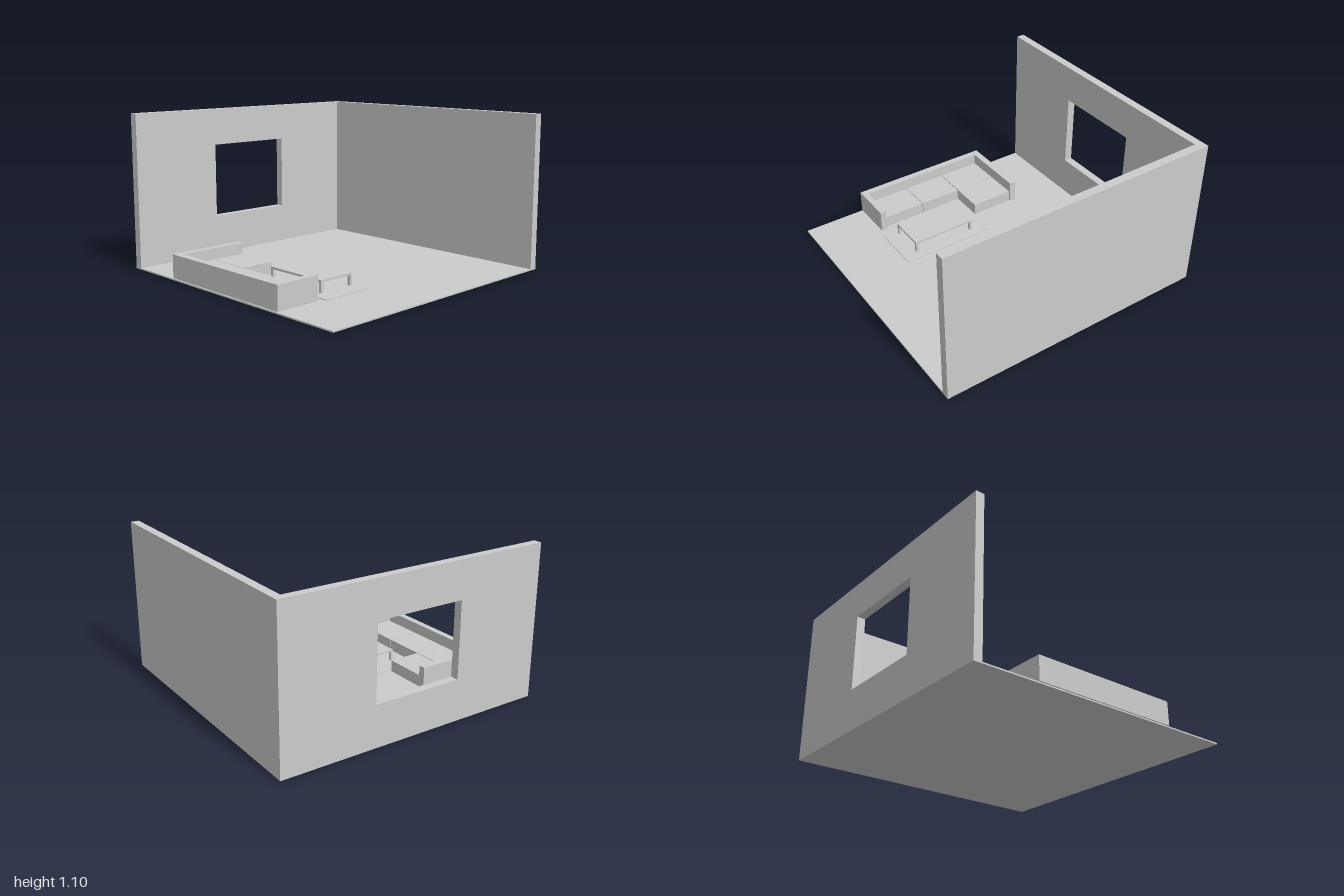
import * as THREE from 'three';

const material = new THREE.MeshStandardMaterial({ color: 0xcccccc, flatShading: true });

// Box given by its minimum and maximum along each axis
function slab(parent, name, [x0, x1], [y0, y1], [z0, z1]) {
  const geometry = new THREE.BoxGeometry(x1 - x0, y1 - y0, z1 - z0);
  geometry.translate((x0 + x1) / 2, (y0 + y1) / 2, (z0 + z1) / 2);
  const mesh = new THREE.Mesh(geometry, material);
  mesh.name = name;
  parent.add(mesh);
}

function group(parent, name) {
  const g = new THREE.Group();
  g.name = name;
  parent.add(g);
  return g;
}

export function createModel() {
  const model = new THREE.Group();
  model.name = 'livingRoom';
  const inner = -0.94, height = 1.1, floorTop = 0.01;

  // Room shell: floor and plain back wall
  slab(model, 'floor', [inner, 1], [0, floorTop], [inner, 1]);
  slab(model, 'backWall', [-1, 1], [0, height], [-1, inner]);

  // Side wall with a window opening, drawn in (z, y) and turned upright
  const wall = new THREE.Shape([
    new THREE.Vector2(inner, 0), new THREE.Vector2(1, 0),
    new THREE.Vector2(1, height), new THREE.Vector2(inner, height),
  ]);
  wall.holes.push(new THREE.Path([
    new THREE.Vector2(-0.32, 0.295), new THREE.Vector2(-0.32, 0.835),
    new THREE.Vector2(0.33, 0.835), new THREE.Vector2(0.33, 0.295),
  ]));
  const wallGeometry = new THREE.ExtrudeGeometry(wall, { depth: 0.06, bevelEnabled: false });
  wallGeometry.rotateY(-Math.PI / 2).translate(inner, 0, 0);
  const windowWall = new THREE.Mesh(wallGeometry, material);
  windowWall.name = 'windowWall';
  model.add(windowWall);

  // Corner sofa: back, two arms of different length, four seat blocks
  const sofa = group(model, 'sofa');
  const body = [0.015, 0.18], seat = [0.015, 0.1];
  slab(sofa, 'sofaBack', [-0.49, 0.49], body, [0.95, 1]);
  slab(sofa, 'longArm', [-0.54, -0.49], body, [0.445, 1]);
  slab(sofa, 'shortArm', [0.49, 0.535], body, [0.675, 1]);
  for (const [x0, x1] of [[-0.488, -0.167], [-0.162, 0.156], [0.16, 0.488]]) {
    slab(sofa, 'seat', [x0, x1], seat, [0.7, 0.947]);
  }
  slab(sofa, 'chaiseSeat', [-0.488, -0.165], seat, [0.455, 0.696]);

  // Rug
  slab(model, 'rug', [-0.15, 0.555], [floorTop, 0.015], [0.24, 0.62]);

  // Coffee table with four short legs
  const table = group(model, 'coffeeTable');
  slab(table, 'tableTop', [-0.03, 0.455], [0.097, 0.112], [0.297, 0.572]);
  for (const x of [-0.03, 0.435]) {
    for (const z of [0.297, 0.552]) {
      slab(table, 'tableLeg', [x, x + 0.02], [0.027, 0.097], [z, z + 0.02]);
    }
  }
  return model;
}
